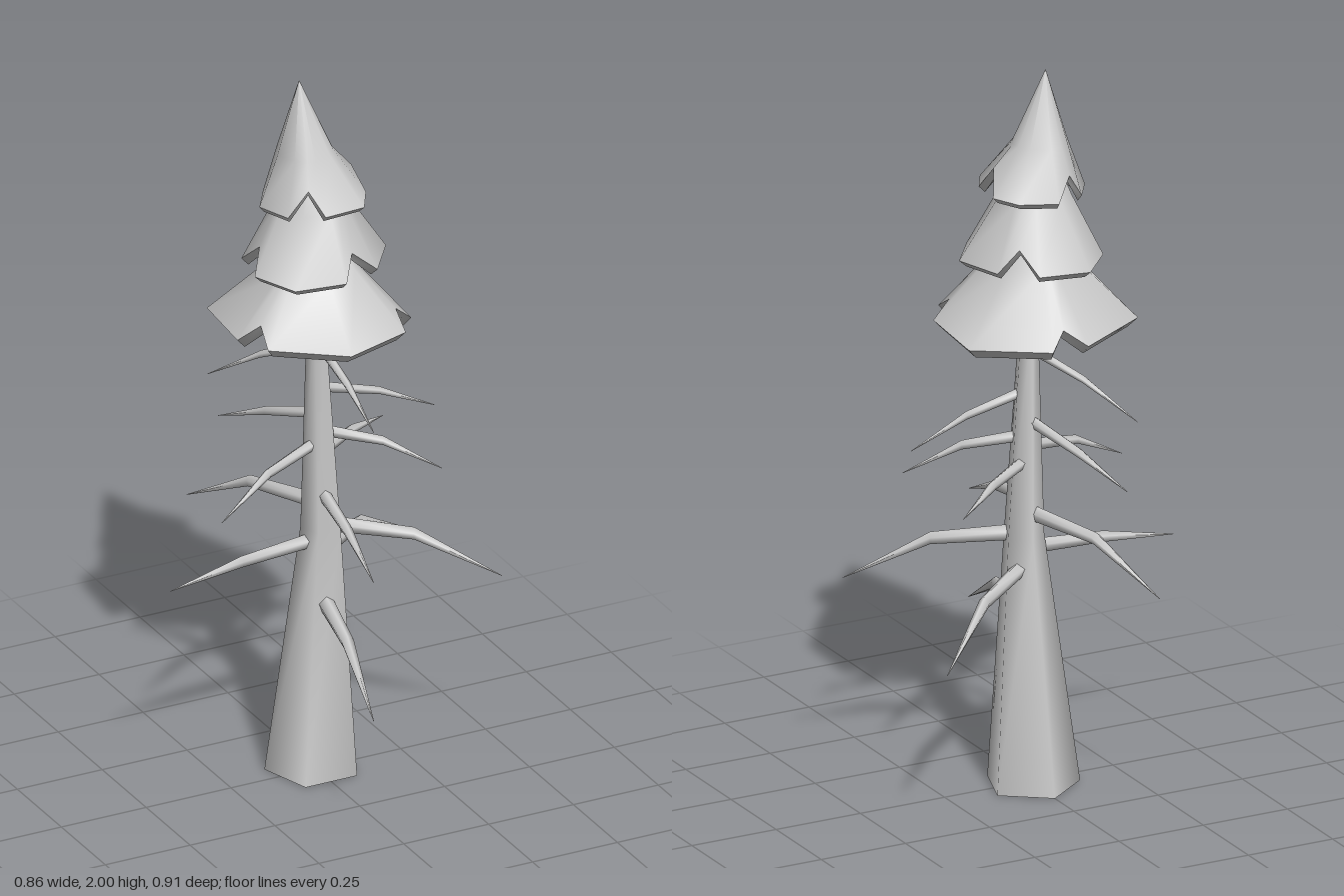
import * as THREE from 'three';

const bark = new THREE.MeshStandardMaterial({ color: 0xcccccc });
bark.name = 'pale grey';

// Skin over a stack of closed rings, each a list of [x, y, z] points
function loft(rings) {
  const n = rings[0].length, index = [];
  for (let i = 0; i < rings.length - 1; i++) {
    for (let j = 0; j < n; j++) {
      const a = i * n + j, b = i * n + (j + 1) % n;
      index.push(a, a + n, b, b, a + n, b + n);
    }
  }
  const geometry = new THREE.BufferGeometry();
  geometry.setAttribute('position', new THREE.Float32BufferAttribute(rings.flat(2), 3));
  geometry.setIndex(index);
  geometry.computeVertexNormals();
  return geometry;
}

function addMesh(parent, name, rings) {
  const mesh = new THREE.Mesh(loft(rings), bark);
  mesh.name = name;
  parent.add(mesh);
}

// Five-sided trunk ring with one corner at the back
function trunkRing(x, y, z, r) {
  return [0, 1, 2, 3, 4].map((i) => {
    const a = -Math.PI / 2 + (i * Math.PI * 2) / 5;
    return [x + r * Math.cos(a), y, z + r * Math.sin(a)];
  });
}

// Drooping branch: short nearly level run, then a tapering tip
function branchRings(baseY, bendY, tip, r) {
  const [bx, bz] = [0.018, -0.016];
  const d = new THREE.Vector2(tip[0] - bx, tip[2] - bz);
  const length = d.length();
  d.normalize();
  const stations = [[0, baseY + 0.005, r], [0.52, bendY, r * 0.75], [1, tip[1], 0.0008]];
  return stations.map(([t, y, radius]) => [0, 1, 2, 3, 4].map((i) => {
    const a = (i * Math.PI * 2) / 5 + Math.PI / 2;
    const u = Math.cos(a) * radius, v = Math.sin(a) * radius;
    return [bx + d.x * length * t - d.y * u, y + v, bz + d.y * length * t + d.x * u];
  }));
}

// Foliage tiers: rim outline [x, z], where every fourth point is a raised notch
const tiers = [
  {
    name: 'lowerFoliage', y: 1.312, lift: 0.042, tiltX: -0.05, tiltZ: 0.03, drop: 0.027, notch: 2,
    rim: [[-.228, -.18], [-.029, -.277], [.024, -.238], [.07, -.267], [.249, -.134], [.235, .09],
      [.182, .103], [.177, .17], [-.027, .255], [-.21, .134], [-.196, .065], [-.252, .04]],
    upper: [[-.005, 1.47, -.012, .117], [0, 1.6, -.02, .05]],
  },
  {
    name: 'middleFoliage', y: 1.485, lift: 0.06, tiltX: 0.02, tiltZ: 0, drop: 0.018, notch: 3,
    rim: [[-.165, -.105], [-.07, -.212], [.07, -.192], [.097, -.13], [.157, -.12], [.2, .013],
      [.116, .127], [.046, .117], [.007, .163], [-.131, .137], [-.184, .008], [-.148, -.035]],
    upper: [[-.003, 1.65, -.02, .1], [-.01, 1.78, -.025, .04]],
  },
  {
    name: 'topFoliage', y: 1.667, lift: 0.065, tiltX: 0.06, tiltZ: 0, drop: 0.016, notch: 2,
    rim: [[-.148, -.035], [-.097, -.113], [-.053, -.127], [-.007, -.156], [.097, -.127], [.136, -.057],
      [.107, -.005], [.126, .042], [.082, .118], [-.029, .113], [-.058, .07], [-.114, .062]],
    upper: [[-.02, 1.8, -.028, .076], [-.03, 2, -.037, .0008]],
  },
];

function makeTier(t) {
  const group = new THREE.Group();
  group.name = t.name;
  const [cx, , cz] = t.upper[0];
  const rim = t.rim.map(([x, z], i) =>
    [x, t.y + t.tiltX * x + t.tiltZ * z + (i % 4 === t.notch ? t.lift : 0), z]);
  const round = ([x, y, z, r]) => t.rim.map((p) => {
    const a = Math.atan2(p[1] - cz, p[0] - cx);
    return [x + r * Math.cos(a), y, z + r * Math.sin(a)];
  });
  const lower = rim.map(([x, y, z]) => [cx + (x - cx) * 0.9, y - t.drop, cz + (z - cz) * 0.9]);
  const [mx, my, mz, mr] = t.upper[0];
  addMesh(group, 'needles', [rim, ...t.upper.map(round)]);
  addMesh(group, 'rimEdge', [lower, rim]);
  addMesh(group, 'underside', [round([mx, my - 0.01, mz, 0.005]), round([mx, my - 0.03, mz, mr * 0.75]), lower]);
  return group;
}

// Branches: base height, bend height, tip, base radius
const branches = [
  [0.50, 0.475, [-.065, .352, .455], .024],
  [0.615, 0.598, [.412, .475, -.317], .022],
  [0.705, 0.685, [.428, .568, .234], .023],
  [0.66, 0.65, [-.43, .615, 0], .021],
  [0.765, 0.75, [-.148, .635, -.45], .022],
  [0.805, 0.772, [-.012, .70, .352], .019],
  [0.945, 0.916, [-.324, .83, .09], .017],
  [0.905, 0.9, [.312, .863, -.22], .017],
  [0.975, 0.95, [.3, .87, .14], .017],
  [1.025, 0.975, [-.11, .905, -.342], .017],
  [1.10, 1.06, [.347, .985, .005], .015],
  [1.225, 1.162, [-.174, 1.068, -.281], .014],
  [1.225, 1.182, [.016, 1.108, .3], .014],
];

export function createModel() {
  const model = new THREE.Group();
  model.name = 'pineTree';

  // Trunk, thick at the foot and thin inside the foliage
  const foot = trunkRing(0, 0, -0.016, 0.129);
  addMesh(model, 'trunk', [foot, trunkRing(0.024, 0.7, -0.014, 0.056),
    trunkRing(0.01, 1.32, -0.017, 0.025), trunkRing(0, 1.5, -0.018, 0.018)]);
  addMesh(model, 'trunkBase', [trunkRing(0, 0, -0.016, 0), foot]);

  // Bare branches
  const limbs = new THREE.Group();
  limbs.name = 'branches';
  for (const b of branches) addMesh(limbs, 'branch', branchRings(...b));
  model.add(limbs);

  // Foliage
  for (const t of tiers) model.add(makeTier(t));
  return model;
}
